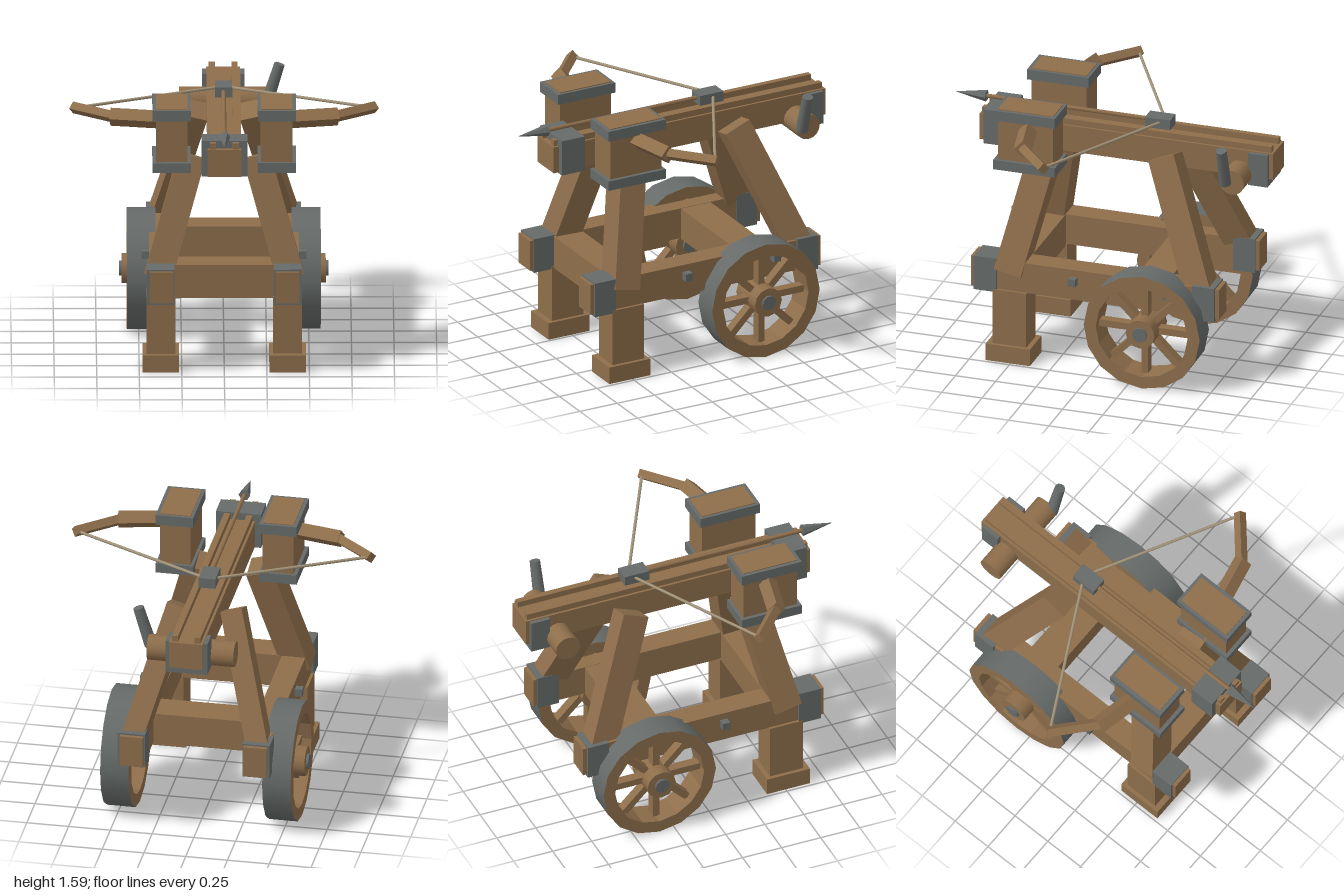
import * as THREE from 'three';

const mat = (name, color) => {
  const m = new THREE.MeshStandardMaterial({ color });
  m.name = name;
  return m;
};

// flat facets for low-sided round parts
function facet(geo) {
  const g = geo.toNonIndexed();
  g.computeVertexNormals();
  return g;
}

export function createModel() {
  const root = new THREE.Group();
  root.name = 'boltThrower';
  const wood = mat('wood', 0x8e6e4b);
  const steel = mat('steel', 0x666b69);
  const rope = mat('rope', 0xa4957a);

  const add = (name, geo, m, parent = root) => {
    const mesh = new THREE.Mesh(geo, m);
    mesh.name = name;
    parent.add(mesh);
    return mesh;
  };
  // box given by its limits on each axis
  const box = (name, [x0, x1], [y0, y1], [z0, z1], m) => {
    const mesh = add(name, new THREE.BoxGeometry(x1 - x0, y1 - y0, z1 - z0), m);
    mesh.position.set((x0 + x1) / 2, (y0 + y1) / 2, (z0 + z1) / 2);
    return mesh;
  };
  // the same box on the left (+x) and on the right
  const pair = (name, [x0, x1], y, z, m) => {
    box(name + 'Left', [x0, x1], y, z, m);
    box(name + 'Right', [-x1, -x0], y, z, m);
  };
  // geometry whose y axis is laid from a to b, its width kept close to world x
  const span = (name, a, b, make, m) => {
    const A = new THREE.Vector3(...a), B = new THREE.Vector3(...b);
    const y = B.clone().sub(A), len = y.length();
    y.normalize();
    const ref = Math.abs(y.y) > 0.5 ? new THREE.Vector3(1, 0, 0) : new THREE.Vector3(0, 1, 0);
    const z = ref.clone().cross(y).normalize();
    const x = y.clone().cross(z);
    const mesh = add(name, make(len), m);
    mesh.quaternion.setFromRotationMatrix(new THREE.Matrix4().makeBasis(x, y, z));
    mesh.position.copy(A.add(B).multiplyScalar(0.5));
    return mesh;
  };
  const rod = (r0, r1, n) => (len) => new THREE.CylinderGeometry(r1, r0, len, n);
  const flatRod = (r0, r1, n) => (len) => facet(rod(r0, r1, n)(len));

  // lower frame
  pair('sideRail', [0.3, 0.44], [0.45, 0.64], [-0.78, 0.76], wood);
  box('frontCrossbeam', [-0.3, 0.3], [0.44, 0.642], [0.42, 0.605], wood);
  box('rearCrossbeam', [-0.3, 0.3], [0.445, 0.638], [-0.45, -0.25], wood);
  pair('frontCornerBand', [0.292, 0.455], [0.435, 0.65], [0.597, 0.737], steel);
  pair('rearCornerBand', [0.292, 0.455], [0.435, 0.65], [-0.755, -0.62], steel);
  pair('frontBolt', [0.44, 0.485], [0.55, 0.597], [0.097, 0.143], steel);
  pair('rearBolt', [0.44, 0.485], [0.55, 0.597], [-0.493, -0.447], steel);
  pair('frontLeg', [0.287, 0.457], [0.09, 0.452], [0.41, 0.62], wood);
  pair('foot', [0.265, 0.48], [0, 0.105], [0.38, 0.655], wood);

  // stock with guide rails and end bands
  box('stock', [-0.1, 0.1], [1.24, 1.405], [-1, 0.82], wood);
  for (const s of [-1, 1])
    box('guideRail', [s * 0.067 - 0.018, s * 0.067 + 0.018], [1.4, 1.442], [-0.985, 0.81], wood);
  box('frontStockBand', [-0.135, 0.135], [1.232, 1.45], [0.63, 0.785], steel);
  box('rearStockBand', [-0.125, 0.125], [1.197, 1.4], [-0.975, -0.855], steel);

  // bolt and string block
  box('stringBlock', [-0.05, 0.05], [1.443, 1.505], [-0.345, -0.188], steel);
  span('boltShaft', [0, 1.477, -0.3], [0, 1.477, 0.83], rod(0.013, 0.013, 8), wood);
  span('boltHead', [0, 1.477, 0.81], [0, 1.477, 1], flatRod(0.035, 0.001, 6), steel);

  // windlass drum and its crank handle
  span('windlassDrum', [-0.26, 1.26, -0.798], [0.26, 1.26, -0.798], rod(0.077, 0.077, 16), wood);
  span('windlassHandle', [0.255, 1.25, -0.757], [0.33, 1.49, -0.757], rod(0.038, 0.032, 10), steel);

  // spring towers with steel collars
  pair('springTower', [0.215, 0.4], [1.215, 1.593], [0.263, 0.605], wood);
  pair('lowerCollar', [0.197, 0.422], [1.21, 1.27], [0.245, 0.628], steel);
  pair('upperCollar', [0.197, 0.422], [1.525, 1.588], [0.245, 0.628], steel);

  const R = 0.36, r = 0.285, h = 0.085;
  const v = (x, y) => new THREE.Vector2(x, y);
  for (const s of [1, -1]) {
    const side = s > 0 ? 'Left' : 'Right';
    // slanted supports
    span('frontSupport' + side, [s * 0.389, 0.55, 0.53], [s * 0.19, 1.25, 0.378],
      (l) => new THREE.BoxGeometry(0.165, l, 0.17), wood);
    span('rearStrut' + side, [s * 0.386, 0.55, -0.667], [s * 0.16, 1.325, -0.352],
      (l) => new THREE.BoxGeometry(0.13, l, 0.17), wood);

    // bow arm in two diamond-section pieces, and its string
    span('innerArm' + side, [s * 0.3, 1.48, 0.44], [s * 0.667, 1.48, 0.36], flatRod(0.055, 0.055, 4), wood);
    span('outerArm' + side, [s * 0.657, 1.48, 0.357], [s * 0.887, 1.48, 0.155], flatRod(0.036, 0.036, 4), wood);
    span('bowString' + side, [s * 0.87, 1.48, 0.16], [s * 0.03, 1.48, -0.285], rod(0.009, 0.009, 6), rope);

    // wheel, built about its own y axis
    const wheel = new THREE.Group();
    wheel.name = 'wheel' + side;
    wheel.position.set(s * 0.485, R, -0.345);
    wheel.rotation.z = -s * Math.PI / 2;
    root.add(wheel);
    add('tire', new THREE.LatheGeometry([v(R, -h), v(R, h)], 16), steel, wheel);
    add('rim', facet(new THREE.LatheGeometry([v(R, h), v(r, h), v(r, -h), v(R, -h)], 16)), wood, wheel);
    add('hub', new THREE.CylinderGeometry(0.09, 0.09, 0.23, 12), wood, wheel);
    add('axle', new THREE.CylinderGeometry(0.045, 0.045, 0.26, 10), steel, wheel);
    for (let i = 0; i < 8; i++) {
      const a = i * Math.PI / 4;
      const spoke = add('spoke', new THREE.BoxGeometry(0.24, 0.06, 0.042), wood, wheel);
      spoke.position.set(Math.cos(a) * 0.18, 0, Math.sin(a) * 0.18);
      spoke.rotation.y = -a;
    }
  }
  return root;
}
